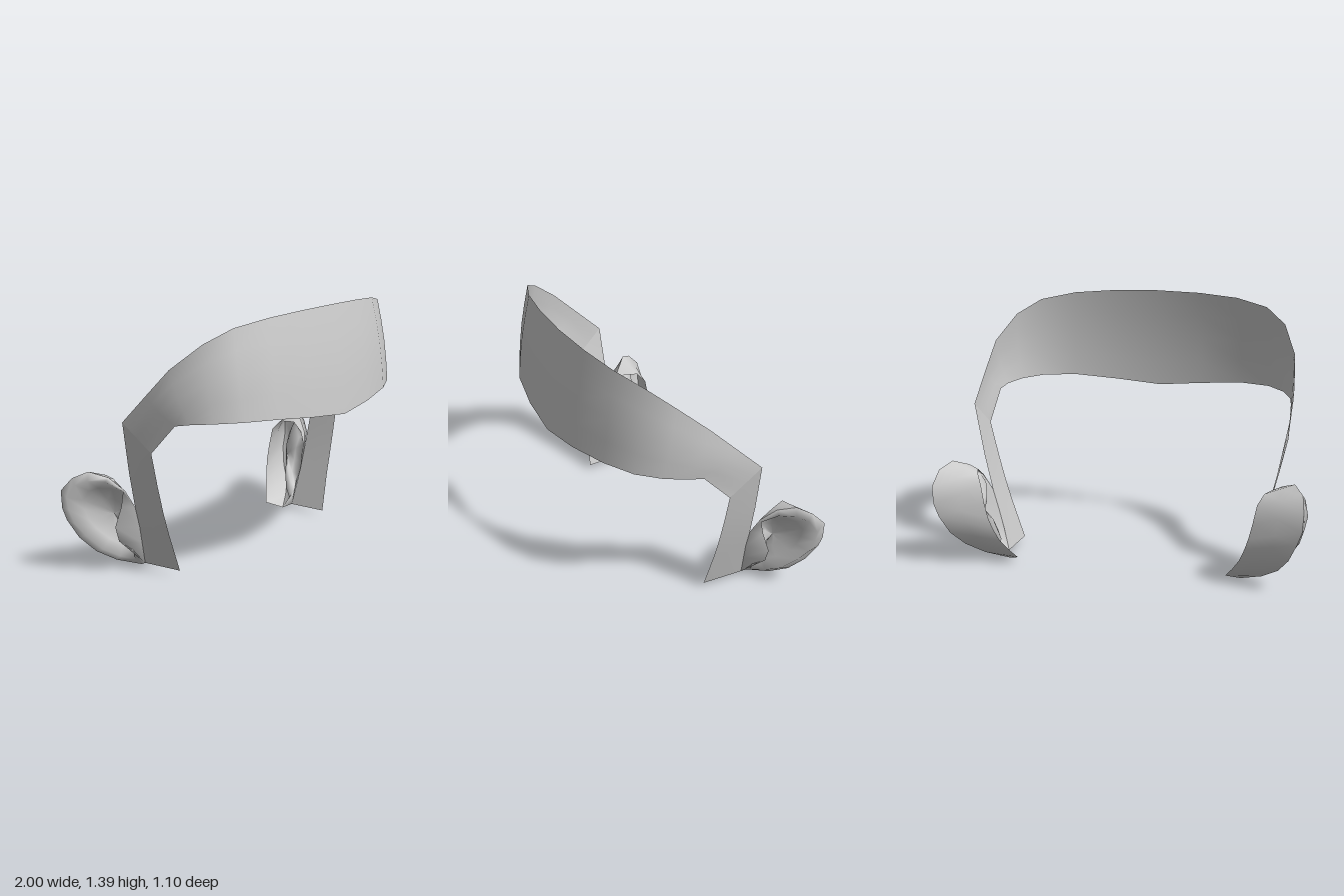
import * as THREE from 'three';

const material = new THREE.MeshStandardMaterial({ color: 0xcccccc, side: THREE.DoubleSide });

// Smooth surface through rows of points, each row of equal length
function loft(name, rows, closed = false) {
  const n = rows[0].length, index = [];
  for (let r = 0; r < rows.length - 1; r++) {
    for (let c = 0; c < (closed ? n : n - 1); c++) {
      const d = (c + 1) % n, a = r * n, b = a + n;
      index.push(a + c, b + c, b + d, a + c, b + d, a + d);
    }
  }
  const geometry = new THREE.BufferGeometry();
  geometry.setAttribute('position', new THREE.Float32BufferAttribute(rows.flat(2), 3));
  geometry.setIndex(index);
  geometry.computeVertexNormals();
  const mesh = new THREE.Mesh(geometry, material);
  mesh.name = name;
  return mesh;
}

const mix = (a, b, t) => a.map((v, i) => v + (b[i] - v) * t);

// Forehead band: lower and upper edge from the centre to the temple
const bandLower = [[0, 0.835, 0.55], [0.25, 0.86, 0.53], [0.49, 0.885, 0.48], [0.66, 0.89, 0.4],
  [0.76, 0.885, 0.29], [0.81, 0.875, 0.18], [0.825, 0.86, 0.1], [0.835, 0.7, -0.05]];
const bandUpper = [[0, 1.4, 0.46], [0.25, 1.395, 0.445], [0.47, 1.38, 0.405], [0.65, 1.345, 0.33],
  [0.765, 1.27, 0.23], [0.84, 1.14, 0.08], [0.852, 0.99, -0.07], [0.86, 0.84, -0.22]];

function foreheadBand() {
  const half = bandLower.map((low, i) => [0, 0.25, 0.5, 0.75, 1].map((t) => {
    const p = mix(low, bandUpper[i], t);
    const bulge = i < 7 ? 0.012 * Math.sin(Math.PI * t) / Math.hypot(p[0], p[2]) : 0;
    return [p[0] * (1 + bulge), p[1], p[2] * (1 + bulge)];
  }));
  const mirrored = half.slice(1).reverse().map((row) => row.map(([x, y, z]) => [-x, y, z]));
  return loft('foreheadBand', [...mirrored, ...half]);
}

// Strip in front of the ear: front and back edge, from top to bottom
const sideburnFront = [[0.835, 0.7, -0.05], [0.793, 0.52, -0.05], [0.755, 0.37, -0.048],
  [0.72, 0.25, -0.045], [0.655, 0.035, -0.03]];
const sideburnBack = [[0.86, 0.84, -0.22], [0.806, 0.56, -0.232], [0.76, 0.37, -0.24],
  [0.725, 0.25, -0.243], [0.665, 0.03, -0.265]];

// Ear loops run from the front top, over the back, to the lobe and up the front
const rim = [[0.76, 0.37, -0.24], [0.8, 0.46, -0.27], [0.85, 0.53, -0.34], [0.92, 0.565, -0.41],
  [0.97, 0.53, -0.48], [0.985, 0.455, -0.55], [0.98, 0.36, -0.55], [0.955, 0.29, -0.545],
  [0.91, 0.19, -0.505], [0.85, 0.11, -0.44], [0.76, 0.05, -0.38], [0.64, 0.005, -0.315],
  [0.665, 0.03, -0.265], [0.695, 0.15, -0.253], [0.725, 0.25, -0.243]];
const lip = [[0.81, 0.37, -0.29], [0.82, 0.46, -0.265], [0.88, 0.515, -0.33], [0.94, 0.52, -0.4],
  [0.98, 0.5, -0.45], [1, 0.43, -0.495], [0.985, 0.36, -0.497], [0.96, 0.28, -0.48],
  [0.915, 0.21, -0.45], [0.85, 0.13, -0.39], [0.77, 0.08, -0.345], [0.7, 0.05, -0.305],
  [0.73, 0.11, -0.285], [0.8, 0.175, -0.322], [0.83, 0.26, -0.318]];
const backEdge = [[0.76, 0.37, -0.24], [0.79, 0.46, -0.29], [0.8, 0.51, -0.35], [0.77, 0.51, -0.43],
  [0.74, 0.46, -0.47], [0.72, 0.36, -0.48], [0.7, 0.28, -0.48], [0.68, 0.22, -0.47],
  [0.65, 0.15, -0.45], [0.61, 0.09, -0.42], [0.57, 0.04, -0.39], [0.64, 0.005, -0.315]];
const bowlCentre = [0.77, 0.31, -0.38];

function ear() {
  const group = new THREE.Group();
  group.name = 'ear';
  // Bowl rings sink quickly inwards behind the lip
  const ring = (t, sink) => lip.map((p) => {
    const q = mix(p, bowlCentre, t);
    return [q[0] - sink, q[1], q[2]];
  });
  group.add(
    loft('earBowl', [rim, lip, ring(0.25, 0.03), ring(0.6, 0.03), lip.map(() => bowlCentre)], true),
    loft('earBack', [backEdge, backEdge.map((p, i) => mix(p, rim[i], 0.5)), rim.slice(0, 12)]),
  );
  return group;
}

export function createModel() {
  const model = new THREE.Group();
  model.name = 'headbandWithEars';
  model.add(foreheadBand());
  for (const side of [1, -1]) {
    const half = new THREE.Group();
    half.name = side > 0 ? 'leftSide' : 'rightSide';
    half.add(loft('sideburn', sideburnFront.map((p, i) => [p, mix(p, sideburnBack[i], 0.5), sideburnBack[i]])));
    half.add(ear());
    half.scale.x = side;
    model.add(half);
  }
  return model;
}
